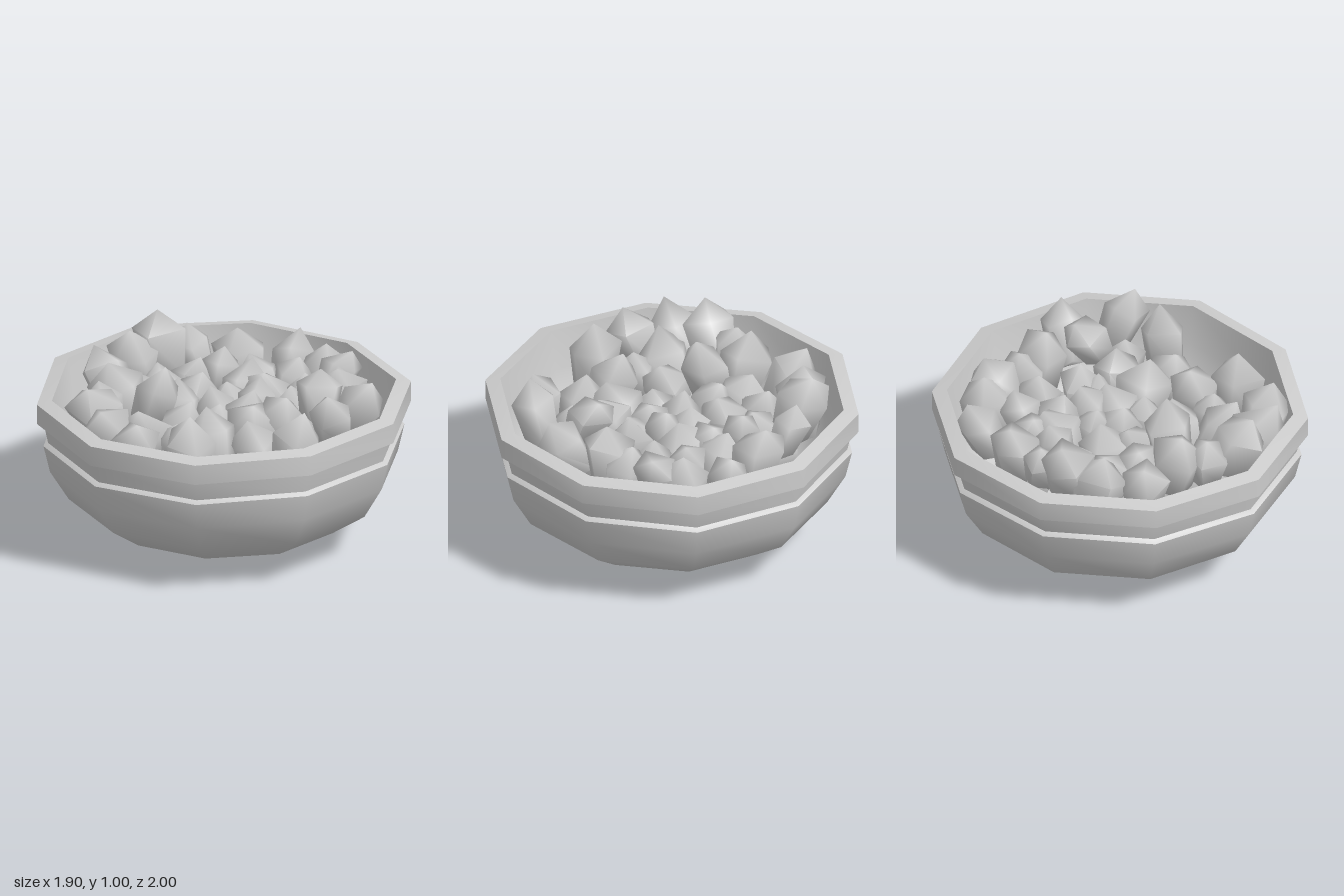
import * as THREE from 'three';
import { toCreasedNormals } from 'three/addons/utils/BufferGeometryUtils.js';

const lathe = (profile, sides) =>
  new THREE.LatheGeometry(profile.map(([r, y]) => new THREE.Vector2(r, y)), sides);

// Small seeded generator for the irregular stones
let seed = 7;
const rand = (a, b) => {
  seed = (seed * 16807) % 2147483647;
  return a + (b - a) * (seed / 2147483647);
};

// Five-sided chunk with a pointed roof, corners nudged by direction
function stoneGeometry() {
  const geo = lathe([[0, -1], [0.8, -0.85], [1.04, 0.35], [0, 1]], 5);
  const p = geo.attributes.position;
  const a = rand(0, 6), b = rand(0, 6);
  for (let i = 0; i < p.count; i++) {
    const x = p.getX(i), y = p.getY(i), z = p.getZ(i);
    const wobble = 0.13 * Math.sin(3 * x + a + y) + 0.1 * Math.cos(4 * z + b);
    p.setXYZ(i, x * (1 + wobble) + 0.2 * Math.sin(a) * y, y + wobble * 0.5, z * (1 - wobble) + 0.2 * Math.cos(b) * y);
  }
  return toCreasedNormals(geo, 1.7);
}

// Stones near the wall: x, z, radius, height of the tip
const outerStones = [
  [-0.19, -0.72, 0.11, 0.88], [0.03, -0.72, 0.14, 0.88], [0.19, -0.67, 0.11, 0.88], [-0.39, -0.51, 0.13, 0.89],
  [0.32, -0.56, 0.12, 0.87], [0.39, -0.46, 0.13, 0.93], [0.62, -0.38, 0.13, 0.95], [-0.57, -0.35, 0.11, 0.92],
  [-0.66, -0.2, 0.13, 1], [-0.69, -0.02, 0.15, 0.95], [0.74, -0.08, 0.13, 1], [0.7, 0.14, 0.14, 0.94],
  [-0.65, 0.22, 0.14, 0.92], [-0.43, 0.36, 0.14, 0.95], [-0.41, 0.52, 0.11, 0.9], [0.32, 0.59, 0.15, 0.94],
  [-0.28, 0.63, 0.13, 0.96], [-0.12, 0.71, 0.15, 0.92], [0.1, 0.76, 0.13, 0.9],
];
// Stones in the middle of the heap
const innerStones = [
  [-0.18, -0.45, 0.11, 0.83], [0, -0.52, 0.11, 0.84], [0.17, -0.45, 0.12, 0.83], [-0.32, -0.31, 0.1, 0.87],
  [-0.15, -0.31, 0.13, 0.84], [0, -0.33, 0.12, 0.83], [-0.43, -0.21, 0.12, 0.82], [0.26, -0.24, 0.13, 0.85],
  [0.47, -0.23, 0.12, 0.98], [0.07, -0.18, 0.11, 0.85], [-0.08, -0.13, 0.1, 0.81], [0.21, -0.15, 0.11, 0.8],
  [-0.48, 0, 0.12, 0.82], [-0.27, -0.06, 0.13, 0.83], [-0.06, 0, 0.12, 0.83], [0.14, -0.03, 0.13, 0.83],
  [0.36, -0.05, 0.13, 0.87], [0.55, -0.04, 0.11, 0.83], [0.27, 0.1, 0.15, 0.86], [0.08, 0.13, 0.13, 0.8],
  [-0.21, 0.11, 0.12, 0.83], [-0.38, 0.14, 0.11, 0.82], [0.44, 0.22, 0.13, 0.84], [-0.22, 0.28, 0.13, 0.98],
  [-0.02, 0.31, 0.13, 0.84], [0.28, 0.36, 0.14, 0.89], [0.12, 0.48, 0.1, 0.81], [-0.05, 0.53, 0.14, 0.88],
];

export function createModel() {
  const root = new THREE.Group();
  root.name = 'bowlOfStones';
  const grey = new THREE.MeshStandardMaterial({ color: 0xcccccc });
  grey.name = 'grey';

  // Ten-sided bowl: foot, curved wall, ledge, thick sloping rim and hollow inside
  const bowlGeo = lathe([
    [0, 0], [0.34, 0], [0.355, 0.058], [0.64, 0.12], [0.83, 0.25], [0.93, 0.415],
    [0.965, 0.565], [0.94, 0.582], [0.962, 0.685], [1, 0.695], [1, 0.805],
    [0.92, 0.822], [0.885, 0.6], [0.84, 0.42], [0.74, 0.28], [0.55, 0.17], [0, 0.12],
  ], 10);
  // Gentle warp of the upper wall
  const p = bowlGeo.attributes.position;
  for (let i = 0; i < p.count; i++) {
    if (p.getY(i) > 0.3) p.setY(i, p.getY(i) + 0.011 * (p.getX(i) ** 2 - p.getZ(i) ** 2));
  }
  const bowl = new THREE.Mesh(toCreasedNormals(bowlGeo, 0.75), grey);
  bowl.name = 'bowl';
  root.add(bowl);

  // Heap of stones, leaning outward near the wall
  const heap = new THREE.Group();
  heap.name = 'stones';
  root.add(heap);
  const addStone = ([x, z, r, top], lean, stretch) => {
    const geo = stoneGeometry();
    geo.scale(r, r * stretch, r);
    geo.rotateY(rand(0, 6.28));
    geo.rotateX(z * lean + rand(-0.3, 0.3));
    geo.rotateZ(-x * lean + rand(-0.3, 0.3));
    geo.computeBoundingBox();
    const stone = new THREE.Mesh(geo, grey);
    stone.name = 'stone';
    // Middle of the stone over its spot, tip at the given height
    const { min, max } = geo.boundingBox;
    stone.position.set(x - (min.x + max.x) / 2, top - max.y, z - (min.z + max.z) / 2);
    heap.add(stone);
  };
  for (const s of outerStones) addStone(s, 0.3, 1.45);
  for (const s of innerStones) addStone(s, 0.2, 1.35);

  // Lower layer that fills the gaps
  for (let i = 0; i < 18; i++) {
    const a = i * 2.4, d = 0.12 * Math.sqrt(i);
    addStone([d * Math.sin(a) - 0.05, d * Math.cos(a) - 0.04, 0.14, 0.66], 0.2, 1.3);
  }
  return root;
}
